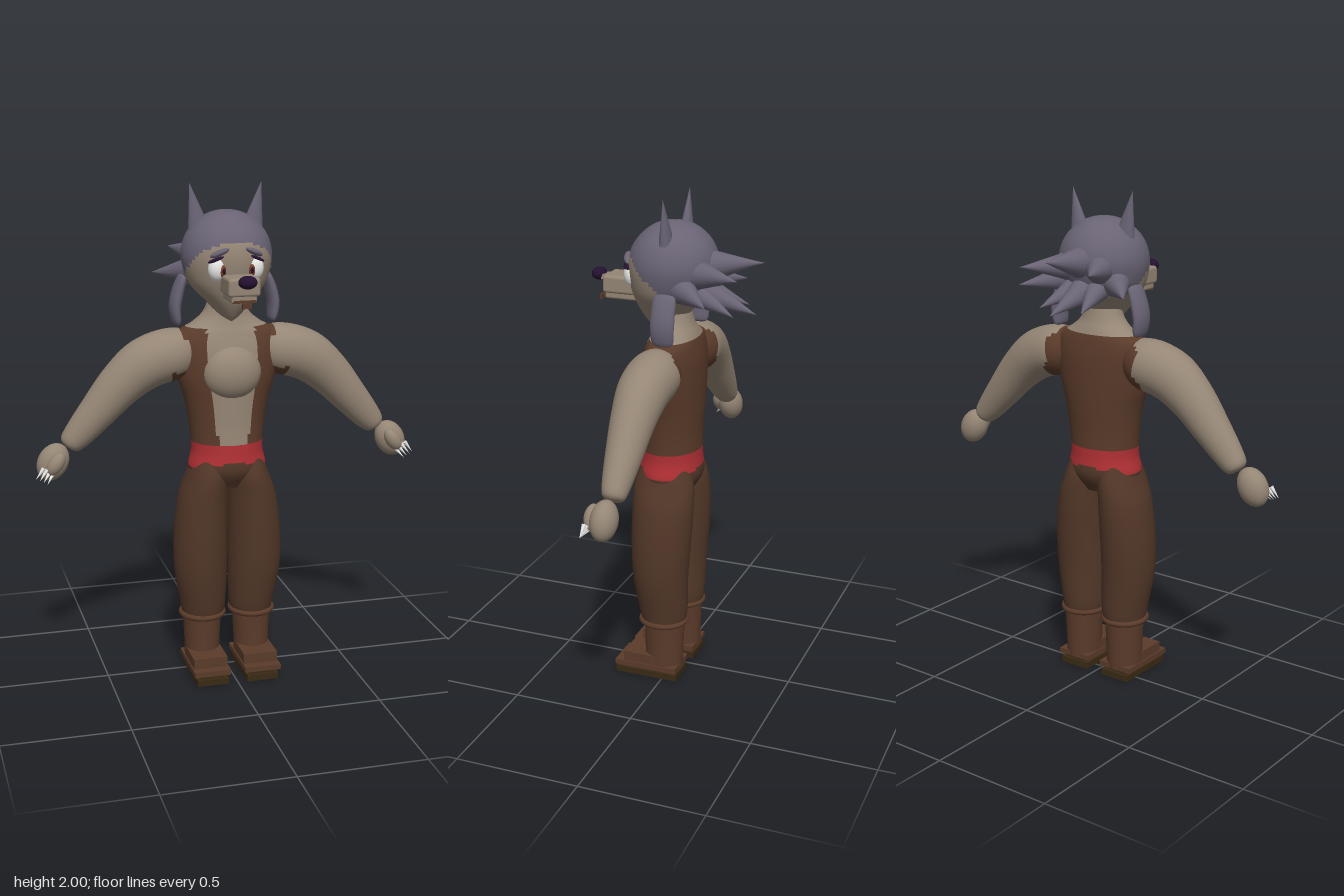
import * as THREE from 'three';
import { RoundedBoxGeometry } from 'three/addons/geometries/RoundedBoxGeometry.js';

const mat = (name, color) => {
  const m = new THREE.MeshStandardMaterial({ color });
  m.name = name;
  return m;
};
const V = (x, y, z) => new THREE.Vector3(x, y, z);

export function createModel() {
  const model = new THREE.Group();
  model.name = 'wolfFigure';
  const fur = mat('fur', 0x958675), hair = mat('hair', 0x696374), vest = mat('vestBrown', 0x5a3b2a),
    cloth = mat('trouserBrown', 0x523728), red = mat('beltRed', 0xb03034), sole = mat('soleBrown', 0x3a2a14),
    dark = mat('noseDark', 0x241030), white = mat('white', 0xf0f0ee), iris = mat('iris', 0x7a4028);

  const add = (name, geo, material, p = [0, 0, 0], parent = model) => {
    const m = new THREE.Mesh(geo, material);
    m.name = name;
    m.position.set(...p);
    parent.add(m);
    return m;
  };
  const ball = (name, material, p, r) => {
    const m = add(name, new THREE.SphereGeometry(1, 28, 20), material, p);
    m.scale.set(...r);
    return m;
  };
  const box = (name, material, p, s) => add(name, new THREE.BoxGeometry(...s), material, p);
  const spike = (name, material, base, tip, r, flat = 1) => {
    const a = V(...base), b = V(...tip), d = b.clone().sub(a);
    const g = new THREE.ConeGeometry(r, d.length(), 20);
    g.scale(1, 1, flat);
    const m = add(name, g, material, a.add(b).multiplyScalar(0.5).toArray());
    m.quaternion.setFromUnitVectors(V(0, 1, 0), d.normalize());
    return m;
  };

  // Closed tube skin from a point rule; each cell takes the material chosen by pick
  function skin(name, rows, segs, point, mats, pick = () => 0, side = 1) {
    const pos = [], buckets = mats.map(() => []), c = V();
    for (let i = 0; i <= rows; i++)
      for (let j = 0; j < segs; j++) {
        const p = point(i / rows, (j / segs) * Math.PI * 2);
        pos.push(p.x * side, p.y, p.z);
      }
    for (let i = 0; i < rows; i++)
      for (let j = 0; j < segs; j++) {
        const k = (j + 1) % segs, a = i * segs + j, b = a + segs, d = i * segs + k, e = d + segs;
        c.set(0, 0, 0);
        for (const n of [a, b, d, e]) c.add(V(pos[n * 3] * side, pos[n * 3 + 1], pos[n * 3 + 2]));
        c.multiplyScalar(0.25);
        buckets[pick(c)].push(...(side > 0 ? [a, b, d, d, b, e] : [a, d, b, d, e, b]));
      }
    const g = new THREE.BufferGeometry();
    g.setAttribute('position', new THREE.Float32BufferAttribute(pos, 3));
    g.setIndex(buckets.flat());
    let start = 0;
    buckets.forEach((q, n) => { g.addGroup(start, q.length, n); start += q.length; });
    g.computeVertexNormals();
    return add(name, g, mats);
  }
  const curve = pts => new THREE.CatmullRomCurve3(pts, false, 'catmullrom', 0.5);
  // Upright loft, rings are [y, xMin, xMax, zFront, zBack]
  function loft(rings) {
    const a = curve(rings.map(r => V(r[0], r[1], r[2]))), b = curve(rings.map(r => V(r[3], r[4], 0)));
    return (t, u) => {
      const p = a.getPoint(t), q = b.getPoint(t);
      return V((p.y + p.z) / 2 + (p.z - p.y) / 2 * Math.cos(u), p.x, (q.x + q.y) / 2 + (q.x - q.y) / 2 * Math.sin(u));
    };
  }
  const round = rings => loft(rings.map(([y, w, f, b]) => [y, -w, w, f, b]));
  // Bent limb in the xy plane, stations are [x, y, z, radius, zRadius]
  function limb(st) {
    const a = curve(st.map(s => V(s[0], s[1], s[2]))), b = curve(st.map(s => V(s[3], s[4], 0)));
    return (t, u) => {
      const p = a.getPoint(t), r = b.getPoint(t), d = a.getTangent(t);
      return V(p.x - d.y * r.x * Math.cos(u), p.y + d.x * r.x * Math.cos(u), p.z - r.y * Math.sin(u));
    };
  }

  // Torso with open vest, belt and neck
  skin('torso', 84, 64, round([
    [0.80, 0.11, 0.10, -0.07], [0.87, 0.157, 0.14, -0.108], [0.95, 0.145, 0.136, -0.106], [1.05, 0.152, 0.13, -0.105],
    [1.15, 0.17, 0.13, -0.11], [1.25, 0.2, 0.13, -0.112], [1.35, 0.215, 0.12, -0.11], [1.42, 0.2, 0.1, -0.1],
    [1.46, 0.135, 0.085, -0.088], [1.5, 0.092, 0.075, -0.072], [1.56, 0.068, 0.068, -0.06], [1.6, 0.065, 0.065, -0.06],
  ]), [fur, vest, red, cloth], c => {
    const ax = Math.abs(c.x);
    if (c.y < 0.92 - 0.25 * Math.min(ax, 0.15)) return 3;
    if (c.y < 0.98) return 2;
    if (c.y > 1.445) return 0;
    const open = THREE.MathUtils.clamp(0.06 + (c.y - 1) * 0.13, 0.06, 0.097);
    return c.z > 0 && ax < open ? 0 : 1;
  });
  ball('chestTuft', fur, [0, 1.272, 0.09], [0.118, 0.11, 0.08]);

  // Head with a stepped hairline
  skin('head', 44, 64, round([
    [1.475, 0.004, 0.095, 0.07], [1.5, 0.045, 0.118, -0.02], [1.55, 0.09, 0.148, -0.07], [1.6, 0.138, 0.165, -0.115],
    [1.65, 0.164, 0.178, -0.148], [1.72, 0.178, 0.185, -0.168], [1.78, 0.168, 0.175, -0.16], [1.83, 0.14, 0.145, -0.133],
    [1.87, 0.094, 0.1, -0.09], [1.89, 0.048, 0.055, -0.045], [1.897, 0.002, 0.004, 0],
  ]), [fur, hair], c => (c.y > (c.z > 0 ? Math.min(1.81, 1.63 + 0.95 * c.z) : 1.61) ? 1 : 0));

  // Muzzle, nose and mouth
  add('muzzle', new RoundedBoxGeometry(0.125, 0.07, 0.15, 3, 0.012), fur, [0, 1.635, 0.21]);
  add('lowerMuzzle', new RoundedBoxGeometry(0.1, 0.04, 0.14, 3, 0.01), fur, [0, 1.595, 0.21]);
  ball('nose', dark, [0, 1.662, 0.322], [0.036, 0.025, 0.03]);
  box('noseBridge', fur, [0, 1.655, 0.29], [0.05, 0.02, 0.03]);
  box('mouth', vest, [0, 1.583, 0.283], [0.085, 0.01, 0.008]);
  box('lip', vest, [0, 1.572, 0.31], [0.035, 0.02, 0.01]);

  // Hair spikes at the back
  spike('topSpike', hair, [0, 1.73, -0.12], [0, 1.76, -0.355], 0.068);
  spike('napeSpike', hair, [0, 1.63, -0.1], [0, 1.555, -0.33], 0.062);

  for (const s of [1, -1]) {
    const n = s > 0 ? 'left' : 'right';
    spike(n + 'UpperSpike', hair, [s * 0.07, 1.71, -0.11], [s * 0.165, 1.72, -0.305], 0.06);
    spike(n + 'SideSpike', hair, [s * 0.115, 1.655, -0.07], [s * 0.252, 1.63, -0.21], 0.055);
    spike(n + 'LowerSpike', hair, [s * 0.05, 1.63, -0.1], [s * 0.1, 1.565, -0.27], 0.05);
    spike(n + 'Ear', hair, [s * 0.108, 1.83, -0.003], [s * 0.143, 2.0, -0.003], 0.042, 0.65);
    skin(n + 'SideLock', 16, 20, limb([
      [0.165, 1.645, -0.02, 0.002, 0.02], [0.17, 1.635, -0.02, 0.016, 0.044], [0.188, 1.58, -0.02, 0.023, 0.048],
      [0.2, 1.52, -0.02, 0.023, 0.048], [0.194, 1.462, -0.02, 0.017, 0.042], [0.192, 1.45, -0.02, 0.002, 0.02],
    ]), [hair], undefined, s);

    // Eyes and worried brows
    ball(n + 'Eye', white, [s * 0.073, 1.69, 0.152], [0.036, 0.048, 0.032]);
    ball(n + 'Iris', iris, [s * 0.058, 1.685, 0.173], [0.014, 0.024, 0.014]);
    ball(n + 'Pupil', dark, [s * 0.056, 1.685, 0.182], [0.007, 0.013, 0.007]);
    const lid = ball(n + 'Eyelid', dark, [s * 0.076, 1.729, 0.158], [0.037, 0.007, 0.024]);
    const brow = ball(n + 'Brow', hair, [s * 0.068, 1.752, 0.168], [0.04, 0.012, 0.018]);
    lid.rotation.z = brow.rotation.z = -s * 0.4;
    brow.rotation.y = s * 0.35;

    // Arm, with the vest carried round the shoulder
    skin(n + 'Arm', 44, 36, limb([
      [0.11, 1.35, 0, 0.06, 0.05], [0.2, 1.343, 0.002, 0.1, 0.1], [0.32, 1.31, 0.006, 0.103, 0.1], [0.42, 1.235, 0.006, 0.09, 0.086],
      [0.52, 1.125, 0.004, 0.073, 0.07], [0.6, 1.035, 0.002, 0.057, 0.054], [0.636, 1.0, 0, 0.04, 0.04], [0.645, 0.99, 0, 0.003, 0.003],
    ]), [fur, vest], c => {
      if (c.z < -0.01 && c.x < 0.215 && c.y < 1.42) return 1;
      if (c.y > 1.4 && c.x < 0.19 && c.z < 0.09) return 1;
      return c.y < 1.28 && c.x < 0.23 ? 1 : 0;
    }, s);

    // Hand with thumb pad and claws
    const hand = ball(n + 'Hand', fur, [s * 0.7, 0.935, 0.008], [0.06, 0.078, 0.052]);
    hand.rotation.z = s * 0.5;
    const thumb = ball(n + 'Thumb', fur, [s * 0.695, 0.94, 0.058], [0.03, 0.05, 0.03]);
    thumb.rotation.z = s * 0.6;
    for (let i = 0; i < 4; i++)
      spike(n + 'Claw', white, [s * (0.705 + i * 0.013), 0.905 + i * 0.008, 0.055 + i * 0.004],
        [s * (0.735 + i * 0.014), 0.868 + i * 0.006, 0.09 - i * 0.006], 0.009);

    // Trouser leg, cuff and boot
    skin(n + 'Leg', 40, 40, loft([
      [0.93, 0.015, 0.135, 0.11, -0.08], [0.85, 0.001, 0.165, 0.14, -0.105], [0.75, 0.002, 0.2, 0.143, -0.11],
      [0.6, 0.004, 0.22, 0.143, -0.102], [0.45, 0.005, 0.22, 0.136, -0.09], [0.3, 0.01, 0.195, 0.115, -0.085],
      [0.24, 0.02, 0.185, 0.1, -0.076],
    ].reverse()), [cloth], undefined, s);
    const cuff = add(n + 'Cuff', new THREE.TorusGeometry(0.085, 0.012, 10, 36), vest, [s * 0.104, 0.252, 0.014]);
    cuff.rotation.x = Math.PI / 2;
    cuff.scale.y = 1.06;
    skin(n + 'Boot', 8, 36, loft([[0.04, 0.035, 0.175, 0.09, -0.066], [0.14, 0.032, 0.178, 0.09, -0.07],
      [0.26, 0.025, 0.184, 0.092, -0.075]]), [vest], undefined, s);
    box(n + 'BootToe', vest, [s * 0.105, 0.08, 0.08], [0.14, 0.045, 0.17]);
    box(n + 'BootWelt', vest, [s * 0.105, 0.05, 0.07], [0.15, 0.022, 0.265]);
    box(n + 'SoleCore', sole, [s * 0.104, 0.033, 0.07], [0.1, 0.016, 0.24]);
    box(n + 'Sole', sole, [s * 0.104, 0.013, 0.07], [0.13, 0.026, 0.265]);
  }
  return model;
}
